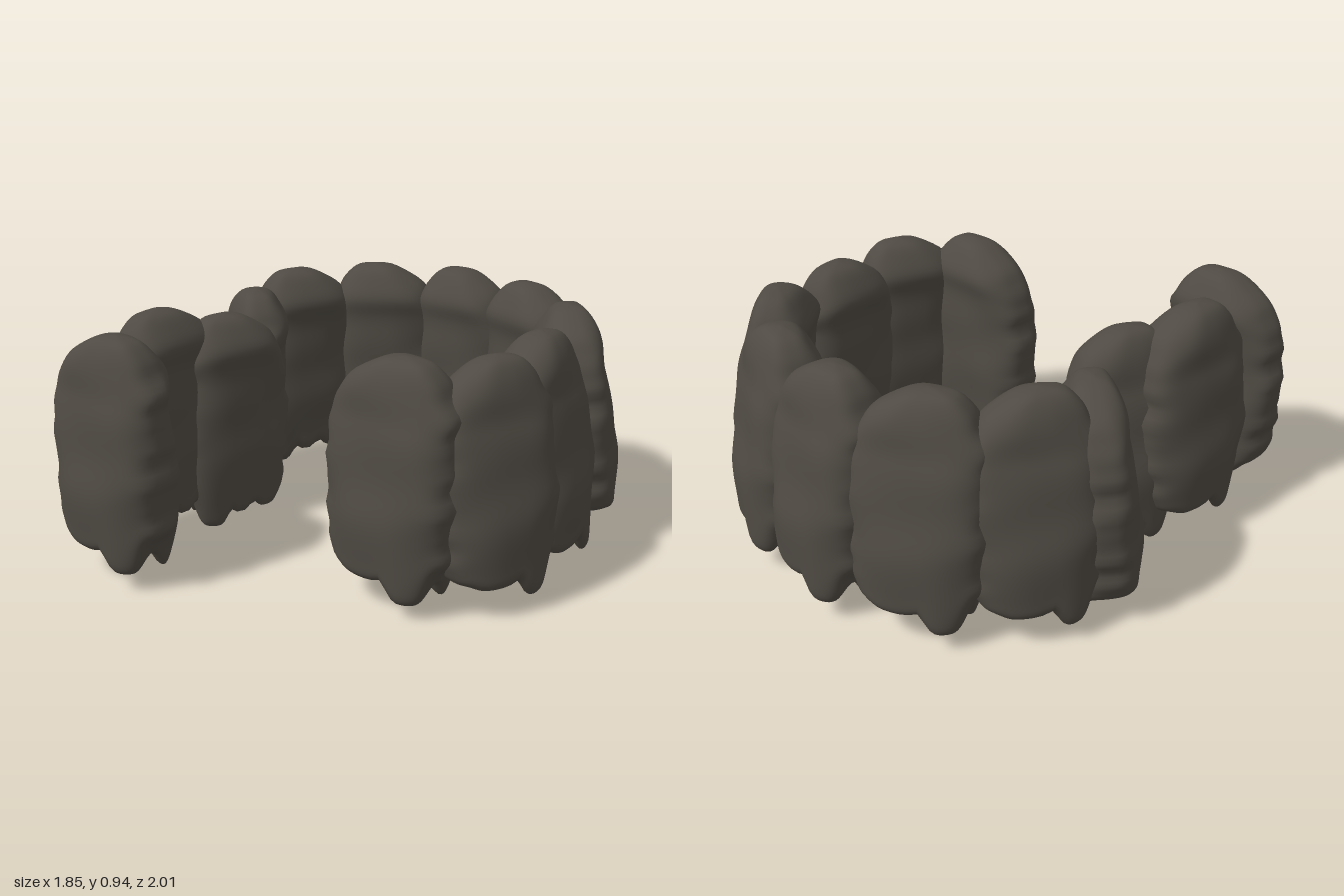
import * as THREE from 'three';

const stone = new THREE.MeshStandardMaterial({ color: 0x4f4a43 });
stone.name = 'dark stone';

// Cross-sections from underside to crest: y, left x, right x, inner z, outer z
const SECTIONS = [
  [0.24, 0.0, 0.0, 0.01, 0.01],
  [0.225, -0.12, 0.10, -0.04, 0.055],
  [0.165, -0.19, 0.165, -0.085, 0.095],
  [0.18, -0.226, 0.195, -0.112, 0.122],
  [0.23, -0.242, 0.22, -0.122, 0.13],
  [0.31, -0.254, 0.24, -0.13, 0.134],
  [0.42, -0.265, 0.252, -0.132, 0.132],
  [0.55, -0.265, 0.246, -0.128, 0.12],
  [0.67, -0.258, 0.238, -0.125, 0.107],
  [0.74, -0.245, 0.23, -0.13, 0.095],
  [0.82, -0.216, 0.202, -0.142, 0.085],
  [0.89, -0.145, 0.158, -0.107, 0.062],
  [0.935, -0.065, 0.105, -0.07, 0.03],
  [0.95, 0.02, 0.02, -0.02, -0.02],
];

// Blunt points under each slab: x, z, depth, radius
const POINTS = [
  [0.11, 0.085, 0.085, 0.075], [-0.07, 0.09, 0.025, 0.09],
  [0.13, -0.075, 0.095, 0.075], [0.0, -0.08, 0.045, 0.055], [-0.13, -0.075, 0.045, 0.06],
];

// x, z, facing in degrees, inward lean, width scale, thickness scale, y shift
const SLABS = [
  [-0.46, 0.85, 0, 0, 1.03, 1.08, 0],
  [-0.605, 0.48, -91, 0, 1.02, 1.1, 0],
  [-0.51, 0.22, -109, 0.03, 0.92, 1.04, -0.05],
  [-0.7, -0.095, -39, 0.04, 1.0, 1.06, -0.055],
  [-0.705, -0.43, -117, 0.07, 0.98, 1.08, -0.01],
  [-0.44, -0.735, -150, 0.07, 1.0, 1.1, -0.005],
  [-0.05, -0.862, 180, 0.06, 0.93, 1.12, 0],
  [0.34, -0.82, 162, 0.065, 0.99, 1.1, 0],
  [0.675, -0.6, 130, 0.07, 1.0, 1.08, 0],
  [0.765, -0.21, 95, 0.07, 0.94, 1.09, -0.015],
  [0.775, 0.175, 68, 0.06, 0.95, 1.04, -0.015],
  [0.475, 0.38, 0, 0, 1.05, 1.1, -0.01],
];

// Smooth interpolation between neighbouring cross-sections
function sectionAt(t) {
  const last = SECTIONS.length - 1;
  const i = Math.min(Math.floor(t), last - 1), f = t - i;
  const at = (k) => SECTIONS[Math.max(0, Math.min(last, k))];
  return SECTIONS[0].map((_, c) => {
    const a = at(i - 1)[c], b = at(i)[c], d = at(i + 1)[c], e = at(i + 2)[c];
    return b + 0.5 * f * (d - a + f * (2 * a - 5 * b + 4 * d - e + f * (3 * (b - d) + e - a)));
  });
}

function createSlabGeometry() {
  const around = 64, rows = (SECTIONS.length - 1) * 4;
  const pos = [], index = [];
  const blunt = (v) => Math.sign(v) * Math.abs(v) ** 0.74;

  for (let j = 0; j <= rows; j++) {
    const [y0, left, right, zIn, zOut] = sectionAt(j / 4);
    const cx = (left + right) / 2, hx = (right - left) / 2;
    const cz = (zIn + zOut) / 2, hz = (zOut - zIn) / 2;
    for (let i = 0; i < around; i++) {
      const a = (i / around) * Math.PI * 2;
      const c = blunt(Math.cos(a)), s = blunt(Math.sin(a));
      // Broad lumps, and chipped notches on the narrow sides
      const lump = 0.03 * Math.sin(3 * a + 7 * y0 + 1)
        + 0.025 * Math.sin(5 * a - 13 * y0 + 4)
        + 0.02 * Math.sin(2 * a + 24 * y0 + 2);
      const chip = Math.abs(c) ** 4 * (0.025 * Math.sin(38 * y0 + 2 + c * 2) + 0.02 * Math.sin(61 * y0 + 5));
      const x = cx + hx * c * (1 + lump * 0.5 + chip);
      const z = cz + hz * s * (1 + lump);
      // Pull the lower rim down into blunt points
      const w = 1 - THREE.MathUtils.smoothstep(y0, 0.17, 0.38);
      let drop = 0;
      for (const [px, pz, depth, r] of POINTS) {
        const d2 = ((x - px) ** 2 + (z - pz) ** 2) / (r * r);
        drop = Math.max(drop, depth * Math.exp(-d2 * d2));
      }
      pos.push(x, y0 - w * drop, z);
    }
  }
  for (let j = 0; j < rows; j++) {
    for (let i = 0; i < around; i++) {
      const p = j * around + i, q = j * around + ((i + 1) % around);
      index.push(p, p + around, q, q, p + around, q + around);
    }
  }
  const geometry = new THREE.BufferGeometry();
  geometry.setAttribute('position', new THREE.Float32BufferAttribute(pos, 3));
  geometry.setIndex(index);
  geometry.computeVertexNormals();
  // The vertices at each pole share one normal
  const n = geometry.attributes.normal;
  for (let i = 0; i < around; i++) {
    n.setXYZ(i, 0, -1, 0);
    n.setXYZ(rows * around + i, 0, 1, 0);
  }
  return geometry;
}

export function createModel() {
  const model = new THREE.Group();
  model.name = 'stoneRing';
  const geometry = createSlabGeometry();

  // Upright slabs around an open, spiralling ring
  SLABS.forEach(([x, z, facing, lean, width, thickness, lift], i) => {
    const slab = new THREE.Mesh(geometry, stone);
    slab.name = `stoneSlab${i + 1}`;
    slab.position.set(x, lift, z);
    slab.rotation.set(-lean, THREE.MathUtils.degToRad(facing), 0, 'YXZ');
    slab.scale.set(width, 1, thickness);
    model.add(slab);
  });
  return model;
}
